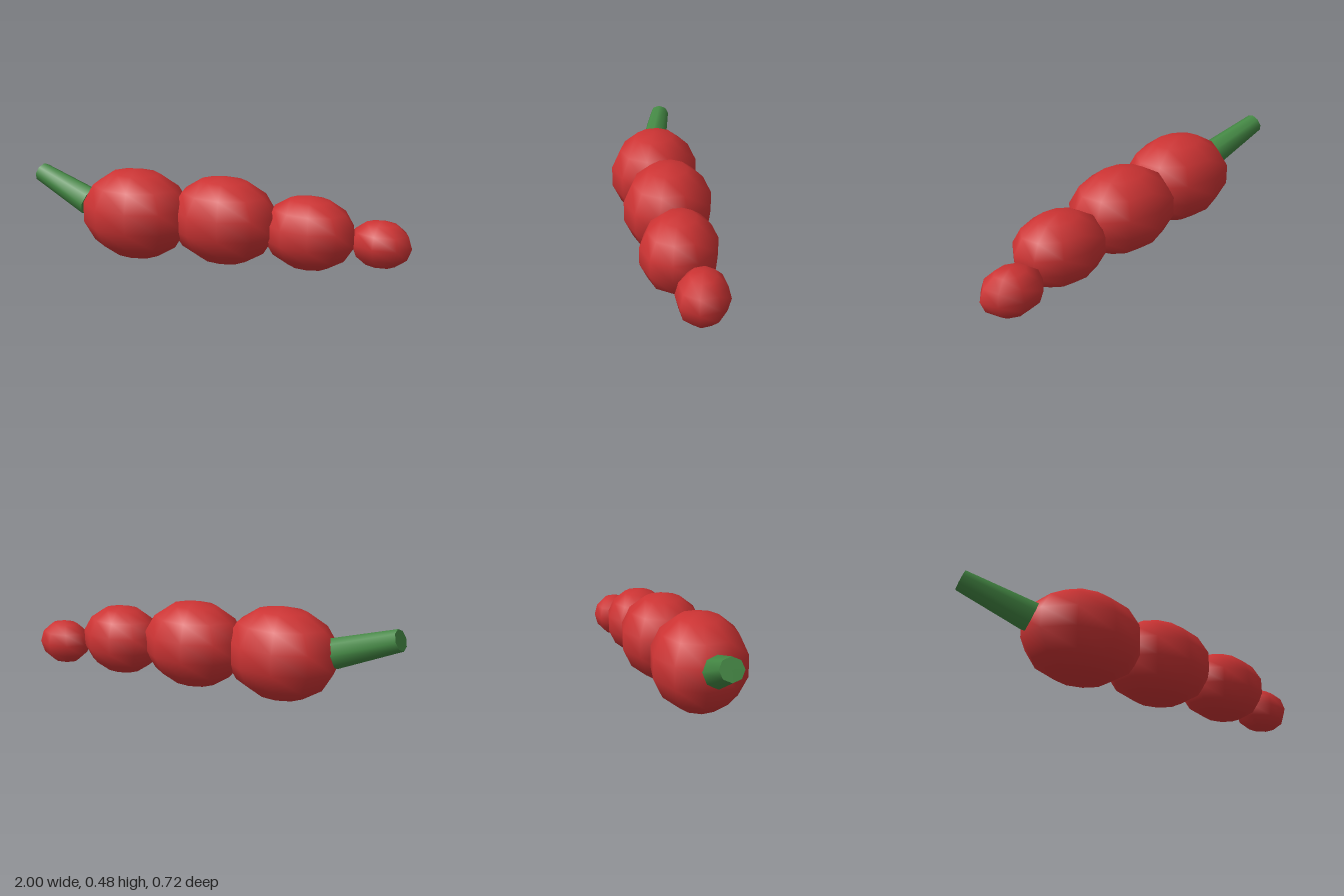
import * as THREE from 'three';

export function createModel() {
  const model = new THREE.Group();
  const red = new THREE.MeshStandardMaterial({ color: 0xcc3333 });
  const green = new THREE.MeshStandardMaterial({ color: 0x448844 });

  // Body: a curving chain of stretched low-poly spheres, tapering to the tip
  const stretch = 1.3;
  const segments = [
    { name: 'bodyBase', r: 0.24, at: [-0.367, 0.24, 0.136], sides: 10, rows: 7 },
    { name: 'bodyMiddle', r: 0.2275, at: [0.09, 0.2405, 0.002], sides: 10, rows: 7 },
    { name: 'bodyEnd', r: 0.187, at: [0.519, 0.215, -0.103], sides: 10, rows: 7 },
    { name: 'tip', r: 0.1205, at: [0.842, 0.1745, -0.239], sides: 8, rows: 6 },
  ];
  for (const { name, r, at, sides, rows } of segments) {
    const mesh = new THREE.Mesh(new THREE.SphereGeometry(r, sides, rows), red);
    mesh.name = name;
    mesh.scale.x = stretch;
    mesh.position.set(...at);
    model.add(mesh);
  }

  // Stem: tapered cylinder leaning up and away from the body
  const base = new THREE.Vector3(-0.636, 0.273, 0.188);
  const end = new THREE.Vector3(-0.98, 0.398, 0.188);
  const axis = end.clone().sub(base);
  const stem = new THREE.Mesh(new THREE.CylinderGeometry(0.053, 0.077, axis.length(), 8), green);
  stem.name = 'stem';
  stem.position.copy(base).add(end).multiplyScalar(0.5);
  stem.rotation.z = Math.atan2(-axis.x, axis.y);
  model.add(stem);

  return model;
}
